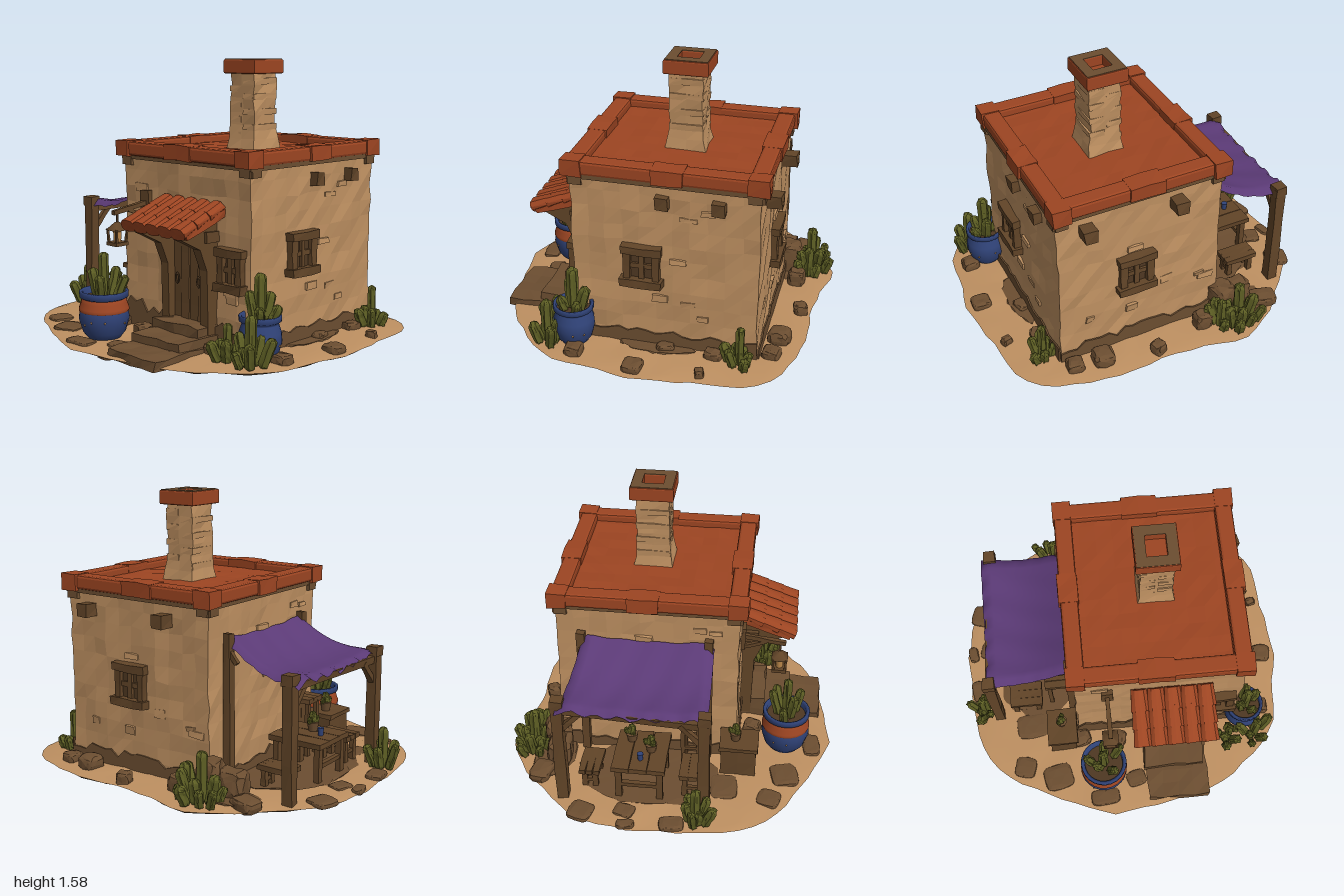
import * as THREE from 'three';

const mat = (name, color, side = THREE.FrontSide) => {
  const m = new THREE.MeshStandardMaterial({ color, side });
  m.name = name;
  return m;
};
const sand = mat('sand plaster', 0xbe9061), terracotta = mat('terracotta', 0x9d4522), wood = mat('wood', 0x624528);
const stone = mat('brown stone', 0x6c4e31), dark = mat('dark wood', 0x4f3822), purple = mat('purple cloth', 0x5b3a76, THREE.DoubleSide);
const blue = mat('blue glaze', 0x31447a, THREE.DoubleSide), green = mat('cactus green', 0x5e5f24), glow = mat('lamp glow', 0xbf8a4c);

let seed = 7;
const rnd = () => (seed = (seed * 16807) % 2147483647) / 2147483647;
const range = (a, b) => a + (b - a) * rnd();
const hash = (x, y, z, k) => {
  const s = Math.sin(Math.round(x * 500) * 1.27 + Math.round(y * 500) * 3.11 + Math.round(z * 500) * 7.47 + k * 5.3) * 4375.85;
  return s - Math.floor(s) - 0.5;
};
// Shift shared corners together, then facet the surface
function rough(geo, amount) {
  const p = geo.attributes.position;
  for (let i = 0; i < p.count; i++) {
    const [x, y, z] = [p.getX(i), p.getY(i), p.getZ(i)];
    p.setXYZ(i, x + hash(x, y, z, 1) * amount, y + hash(x, y, z, 2) * amount, z + hash(x, y, z, 3) * amount);
  }
  const g = geo.index ? geo.toNonIndexed() : geo;
  g.computeVertexNormals();
  return g;
}
function add(parent, name, geo, material, x = 0, y = 0, z = 0) {
  const m = new THREE.Mesh(geo, material);
  m.name = name;
  m.position.set(x, y, z);
  parent.add(m);
  return m;
}
function group(parent, name, x = 0, y = 0, z = 0) {
  const g = new THREE.Group();
  g.name = name;
  g.position.set(x, y, z);
  parent.add(g);
  return g;
}
// Box given by its limits on each axis
function block(parent, name, material, [x0, x1], [y0, y1], [z0, z1], amount = 0.008) {
  const d = [x1 - x0, y1 - y0, z1 - z0];
  const s = d.map(v => Math.min(14, Math.max(1, Math.round(v / 0.09))));
  return add(parent, name, rough(new THREE.BoxGeometry(...d, ...s), amount), material, (x0 + x1) / 2, (y0 + y1) / 2, (z0 + z1) / 2);
}
// Square bar between two points
function bar(parent, name, a, b, w, material = wood) {
  const A = new THREE.Vector3(...a), B = new THREE.Vector3(...b);
  const m = add(parent, name, rough(new THREE.BoxGeometry(w, A.distanceTo(B), w, 1, 3, 1), w * 0.15), material);
  m.position.copy(A).lerp(B, 0.5);
  m.quaternion.setFromUnitVectors(new THREE.Vector3(0, 1, 0), B.sub(A).normalize());
}
// Worn, squarish stone
function rock(parent, x, y, z, rx, ry, rz, turn) {
  const geo = new THREE.IcosahedronGeometry(1, 2), p = geo.attributes.position;
  const square = v => Math.sign(v) * Math.sqrt(Math.abs(v));
  for (let i = 0; i < p.count; i++) p.setXYZ(i, square(p.getX(i)), square(p.getY(i)), square(p.getZ(i)));
  add(parent, 'rock', rough(geo.scale(rx, ry, rz), Math.min(rx, ry) * 0.2), stone, x, y, z).rotation.y = turn;
}
// Horizontal rectangular ring, its bottom at y = 0
function ring(x0, x1, z0, z1, t, height, bevel) {
  const rect = (C, i) => {
    const s = new C();
    s.moveTo(x0 + i, -z1 + i); s.lineTo(x1 - i, -z1 + i); s.lineTo(x1 - i, -z0 - i); s.lineTo(x0 + i, -z0 - i);
    s.closePath();
    return s;
  };
  const s = rect(THREE.Shape, bevel);
  s.holes.push(rect(THREE.Path, t - bevel));
  return new THREE.ExtrudeGeometry(s, { depth: height - 2 * bevel, bevelEnabled: bevel > 0, bevelSize: bevel, bevelThickness: bevel, bevelSegments: 2 })
    .rotateX(-Math.PI / 2).translate(0, bevel, 0);
}
// Clump of ribbed cactus stems around a tall one
function cactus(parent, x, y, z, spread, height, count) {
  const g = group(parent, 'cactus', x, y, z);
  for (let i = 0; i < count; i++) {
    const a = i * 2.4, k = i ? Math.sqrt(i / count) : 0, h = height * (i ? range(0.35, 0.72) : 1), r = Math.min(range(0.022, 0.03), h * 0.3);
    const geo = new THREE.CapsuleGeometry(r, h - 2 * r, 4, 12, 3), p = geo.attributes.position;
    for (let j = 0; j < p.count; j++) {
      const f = 1 + 0.14 * Math.cos(6 * Math.atan2(p.getZ(j), p.getX(j)));
      p.setXYZ(j, p.getX(j) * f, p.getY(j), p.getZ(j) * f);
    }
    const stem = add(g, 'cactus stem', rough(geo.translate(0, h / 2, 0), 0.004), green, Math.cos(a) * spread * k, 0, Math.sin(a) * spread * k);
    stem.rotation.set(Math.sin(a) * k * 0.45, 0, -Math.cos(a) * k * 0.45);
  }
}
function pot(parent, x, z, r, h, banded) {
  const g = group(parent, 'plant pot', x, 0.03, z);
  const lathe = pts => new THREE.LatheGeometry(pts.map(([a, b]) => new THREE.Vector2(a * r, b * h)), 24);
  add(g, 'pot body', lathe([[0, 0], [0.62, 0], [0.85, 0.15], [1, 0.42], [0.97, 0.62], [0.84, 0.8], [0.86, 0.84], [0.97, 0.87], [0.98, 0.98], [0.92, 1], [0.82, 0.97], [0.8, 0.8]]), blue);
  if (banded) add(g, 'pot band', lathe([[0.98, 0.58], [1, 0.6], [0.99, 0.65], [0.91, 0.76], [0.89, 0.84], [0.83, 0.84]]), terracotta);
  for (let i = 0; i < 9; i++) {
    const a = i * 2.4;
    add(g, 'glaze chip', new THREE.SphereGeometry(0.006, 6, 4), sand, Math.sin(a) * r * 0.985, h * (0.34 + 0.025 * (i % 5)), Math.cos(a) * r * 0.985);
  }
  add(g, 'soil', new THREE.CylinderGeometry(r * 0.83, r * 0.83, 0.01, 20), dark, 0, h * 0.84, 0);
  cactus(g, 0, h * 0.82, 0, r * 0.55, 0.26, 6);
}
function window_(parent, x, y, z, turn, w, h) {
  const g = group(parent, 'window', x, y, z);
  g.rotation.y = turn;
  block(g, 'window pane', dark, [-w / 2, w / 2], [-h / 2, h / 2], [-0.01, 0.008], 0);
  for (const s of [-1, 1]) block(g, 'window jamb', wood, [s * w / 2 - 0.02, s * w / 2 + 0.02], [-h / 2, h / 2], [-0.01, 0.035]);
  block(g, 'window lintel', wood, [-w / 2 - 0.03, w / 2 + 0.03], [h / 2 - 0.025, h / 2 + 0.02], [-0.01, 0.045]);
  block(g, 'window sill', wood, [-w / 2 - 0.035, w / 2 + 0.035], [-h / 2 - 0.02, -h / 2 + 0.025], [-0.01, 0.055]);
  block(g, 'window bar', wood, [-0.014, 0.014], [-h / 2, h / 2], [0, 0.025], 0.003);
  block(g, 'window bar', wood, [-w / 2, w / 2], [-0.014, 0.014], [0, 0.022], 0.003);
}
// Rings of the island outline, scaled and set at heights
function island(rings, amount) {
  const outline = [[-0.37, -0.94], [-0.13, -0.9], [0.09, -0.87], [0.35, -0.88], [0.7, -0.82], [0.9, -0.67], [0.95, -0.35], [0.99, 0], [0.94, 0.24], [0.91, 0.45], [0.75, 0.64], [0.54, 0.8], [0.25, 0.87], [-0.13, 0.925], [-0.4, 0.83], [-0.8, 0.61], [-0.93, 0.43], [-0.97, 0.08], [-0.98, -0.19], [-0.92, -0.48], [-0.8, -0.61], [-0.61, -0.8]];
  const n = 72, pts = new THREE.CatmullRomCurve3(outline.map(([x, z]) => new THREE.Vector3(x, 0, z)), true).getSpacedPoints(n);
  const pos = [], idx = [];
  rings.forEach(([s, y], j) => {
    for (let i = 0; i < n; i++) {
      const f = s * (1 + (s > 0.97 ? hash(i, 2, 5, 1) * 0.018 : 0));
      pos.push(pts[i].x * f, y + (s && s < 1 ? hash(i, j, s, 4) * amount : 0), pts[i].z * f);
      const a = j * n + i, d = j * n + (i + 1) % n;
      if (j < rings.length - 1) idx.push(a, d + n, a + n, a, d, d + n);
    }
  });
  const g = new THREE.BufferGeometry();
  g.setAttribute('position', new THREE.Float32BufferAttribute(pos, 3));
  g.setIndex(idx);
  g.computeVertexNormals();
  return g;
}

export function createModel() {
  const root = new THREE.Group();
  root.name = 'desert cottage';
  add(root, 'sandy ground', island([[0, 0.04], [0.5, 0.04], [0.7, 0.04], [0.85, 0.037], [0.95, 0.032], [1, 0.025]], 0.012), sand);
  add(root, 'ground underside', island([[1, 0.025], [0.985, 0.018], [0.9, 0.012], [0.75, 0.008], [0.6, 0.01], [0, 0.012]], 0.012), stone);
  for (let i = 0; i < 34; i++) {
    const a = i * 0.185, k = range(0.76, 0.85);
    rock(root, Math.cos(a) * k, 0.014, Math.sin(a) * k, range(0.03, 0.06), 0.012, range(0.03, 0.06), a);
  }
  // Trodden earth patches: x, z, half width, half depth
  for (const [x, z, rx, rz] of [[-0.53, -0.1, 0.27, 0.38], [-0.42, -0.68, 0.22, 0.12], [0.69, -0.1, 0.07, 0.2]])
    add(root, 'earth patch', rough(new THREE.CylinderGeometry(1, 1, 1, 26), 0.22).scale(rx, 0.008, rz), stone, x, 0.044, z);

  // Plaster walls with raised patches and a ragged footing
  block(root, 'walls', sand, [-0.31, 0.66], [0.02, 1.03], [-0.645, 0.375], 0.015);
  const sides = [[0.175, 0.378, 0, 0.98], [0.663, -0.135, Math.PI / 2, 1.03], [0.175, -0.648, Math.PI, 0.98], [-0.313, -0.135, -Math.PI / 2, 1.03]];
  sides.forEach(([x, z, turn, w], side) => {
    const g = group(root, 'wall face', x, 0, z);
    g.rotation.y = turn;
    const s = new THREE.Shape();
    s.moveTo(w / 2, 0.02);
    for (let i = 0; i <= 20; i++) s.lineTo(w / 2 - w * i / 20, side ? range(0.09, 0.14) : range(0.13, 0.21));
    s.lineTo(-w / 2, 0.02);
    add(g, 'bare footing', new THREE.ExtrudeGeometry(s, { depth: 0.009, bevelEnabled: false }), stone, 0, 0, 0.004);
    for (const e of [-1, 1]) block(g, 'corner corbel', stone, [e * (w / 2 - 0.035) - 0.035, e * (w / 2 - 0.035) + 0.035], [0.965, 1.02], [-0.02, 0.015]);
    for (let i = 0; i < 6; i++) {
      const px = range(-0.42, 0.38), py = range(0.2, 0.9);
      block(g, 'plaster patch', sand, [px, px + range(0.05, 0.1)], [py, py + range(0.02, 0.05)], [-0.02, 0.008], 0.01);
    }
  });
  // Roof beams poking through the walls
  for (const z of [-0.13, -0.43]) block(root, 'beam end', wood, [0.62, 0.71], [0.885, 0.955], [z - 0.037, z + 0.037], 0.014);
  for (const x of [0.5, -0.03]) block(root, 'beam end', wood, [x - 0.037, x + 0.037], [0.885, 0.955], [-0.725, -0.6], 0.014);

  // Flat roof with a raised tiled rim
  add(root, 'under trim', ring(-0.325, 0.675, -0.66, 0.39, 0.06, 0.025, 0), stone, 0, 1.0, 0);
  block(root, 'roof deck', terracotta, [-0.3, 0.64], [1.01, 1.055], [-0.63, 0.37], 0.008);
  add(root, 'roof rim', ring(-0.34, 0.68, -0.67, 0.41, 0.1, 0.08, 0.015), terracotta, 0, 1.02, 0);
  for (const x of [-0.35, 0.58]) {
    for (const z of [-0.685, 0.31]) block(root, 'rim corner', terracotta, [x, x + 0.11], [1.015, 1.107], [z, z + 0.11], 0.01);
    block(root, 'rim tile', terracotta, [x, x + 0.115], [1.02, 1.103], [-0.24, -0.07], 0.008);
  }
  for (const z of [-0.68, 0.3]) block(root, 'rim tile', terracotta, [0.05, 0.25], [1.02, 1.103], [z, z + 0.115], 0.008);

  // Chimney with flared foot and hollow cap
  const stack = new THREE.BoxGeometry(0.175, 0.45, 0.185, 2, 6, 2), sp = stack.attributes.position;
  for (let i = 0; i < sp.count; i++) {
    const f = 1 + 0.4 * Math.max(0, -sp.getY(i) / 0.225 - 0.4);
    sp.setXYZ(i, sp.getX(i) * f, sp.getY(i), sp.getZ(i) * f);
  }
  add(root, 'chimney stack', rough(stack, 0.014), sand, 0.19, 1.265, -0.155);
  for (let i = 0; i < 8; i++) {
    const y = 1.12 + i * 0.043, s = i % 2 ? 1 : -1;
    block(root, 'chimney brick', sand, [0.19 + s * 0.05 - 0.043, 0.19 + s * 0.05 + 0.043], [y, y + 0.032], [-0.25, -0.06], 0.006);
  }
  add(root, 'chimney cap', ring(0.07, 0.305, -0.28, -0.035, 0.06, 0.08, 0.008), terracotta, 0, 1.478, 0);
  add(root, 'chimney soot rim', ring(0.076, 0.299, -0.274, -0.041, 0.056, 0.005, 0), stone, 0, 1.556, 0);
  block(root, 'flue floor', terracotta, [0.11, 0.27], [1.48, 1.5], [-0.235, -0.075], 0);

  window_(root, 0.54, 0.475, 0.378, 0, 0.13, 0.19);
  window_(root, 0.663, 0.53, -0.015, Math.PI / 2, 0.16, 0.2);
  window_(root, 0.21, 0.53, -0.648, Math.PI, 0.16, 0.2);

  // Front door, frame, curved brackets and steps
  const door = group(root, 'front door');
  for (let i = 0; i < 4; i++) block(door, 'door plank', wood, [0.115 + i * 0.064, 0.175 + i * 0.064], [0.15, 0.62], [0.36, 0.4 + (i % 2) * 0.006], 0.004);
  block(door, 'door backing', dark, [0.1, 0.38], [0.14, 0.63], [0.36, 0.392], 0);
  for (const x of [0.155, 0.32]) add(door, 'door ring', new THREE.TorusGeometry(0.016, 0.005, 6, 12).scale(0.8, 1.6, 1), dark, x, 0.38, 0.413);
  block(door, 'door lintel', wood, [0.04, 0.44], [0.61, 0.67], [0.36, 0.47]);
  bar(door, 'canopy beam', [0.03, 0.675, 0.62], [0.46, 0.675, 0.62], 0.03);
  const bracket = new THREE.Shape([[0.36, 0.06], [0.44, 0.06], [0.45, 0.46], [0.5, 0.58], [0.64, 0.65], [0.64, 0.685], [0.36, 0.77]].map(p => new THREE.Vector2(...p)));
  for (const x of [0.12, 0.42]) add(door, 'door post bracket', new THREE.ExtrudeGeometry(bracket, { depth: 0.055, bevelEnabled: false }).rotateY(-Math.PI / 2), wood, x, 0, 0);
  [[0.52, 0.16], [0.67, 0.11], [0.86, 0.065]].forEach(([z, h], i) =>
    block(door, 'step', stone, [0.07 + i * 0.01, 0.42 + i * 0.02], [0.01, h], [0.36, z], 0.015));
  // Tiled door canopy
  const canopy = group(root, 'door canopy', 0.245, 0.738, 0.525);
  canopy.rotation.x = 0.32;
  block(canopy, 'canopy board', terracotta, [-0.235, 0.235], [-0.035, 0.005], [-0.155, 0.145]);
  for (let r = 0; r < 3; r++) for (let c = 0; c < 5; c++) {
    const tile = rough(new THREE.CylinderGeometry(0.054, 0.043, 0.125, 10).rotateX(Math.PI / 2).scale(1, 0.7, 1), 0.008);
    add(canopy, 'roof tile', tile, terracotta, -0.19 + c * 0.095, 0.012 - r * 0.004, -0.1 + r * 0.1).rotation.x = 0.07;
  }

  // Hanging lantern on a wall arm
  const lamp = group(root, 'lantern', -0.125, 0, 0.6);
  block(lamp, 'lantern wall plate', wood, [-0.035, 0.035], [0.69, 0.83], [-0.235, -0.2]);
  bar(lamp, 'lantern arm', [0, 0.765, -0.22], [0, 0.73, 0.03], 0.025);
  bar(lamp, 'lantern brace', [0, 0.69, -0.21], [0, 0.735, -0.08], 0.02);
  bar(lamp, 'lantern hook', [0, 0.74, 0], [0, 0.65, 0], 0.01, dark);
  add(lamp, 'lantern roof', new THREE.CylinderGeometry(0.012, 0.065, 0.045, 4).rotateY(Math.PI / 4), wood, 0, 0.655, 0);
  add(lamp, 'lantern light', new THREE.CylinderGeometry(0.023, 0.02, 0.06, 8), glow, 0, 0.595, 0);
  block(lamp, 'lantern base', wood, [-0.042, 0.042], [0.548, 0.568], [-0.042, 0.042], 0);
  for (const x of [-1, 1]) for (const z of [-1, 1]) bar(lamp, 'lantern rib', [x * 0.032, 0.56, z * 0.032], [x * 0.038, 0.64, z * 0.038], 0.012);

  // Side awning: sagging cloth with drooping hems on a post frame
  const awning = group(root, 'side awning');
  const cloth = new THREE.PlaneGeometry(1, 1, 16, 24), cp = cloth.attributes.position;
  for (let i = 0; i < cp.count; i++) {
    const t = 0.5 - cp.getX(i), v = 0.5 - cp.getY(i);
    const hem = Math.max(0, t - 0.93) * (0.4 + 0.2 * Math.sin(v * 40)) + Math.max(0, Math.abs(v - 0.5) - 0.455) * (0.8 + 0.1 * Math.sin(t * 30));
    cp.setXYZ(i, -0.325 - 0.485 * t, 0.84 - 0.135 * t - 0.055 * Math.sin(Math.PI * t) - 0.02 * Math.sin(Math.PI * v) - hem + 0.004 * Math.sin(v * 24 + t * 5),
      (-0.5 - 0.07 * t) + v * (0.74 + 0.08 * t));
  }
  cloth.computeVertexNormals();
  add(awning, 'awning cloth', cloth, purple);
  for (const [x, z] of [[-0.8, 0.235], [-0.755, -0.56]]) {
    bar(awning, 'outer post', [x, 0.02, z], [x, 0.7, z], 0.06);
    block(awning, 'post cap', wood, [x - 0.035, x + 0.035], [0.66, 0.715], [z - 0.035, z + 0.035]);
    bar(awning, 'wall post', [-0.335, 0.02, z * 0.9], [-0.335, 0.86, z * 0.9], 0.045);
    bar(awning, 'brace', [-0.33, 0.78, z * 0.9], [-0.39, 0.7, z * 0.9], 0.025);
    bar(awning, 'post brace', [x, 0.5, z], [x, 0.64, z - Math.sign(z) * 0.13], 0.03);
  }
  bar(awning, 'outer beam', [-0.755, 0.645, -0.58], [-0.8, 0.645, 0.26], 0.04);

  // Table, stool, bench and shelf beneath the awning
  function table(name, x0, x1, z0, z1, top, leg) {
    const g = group(root, name);
    for (let i = 0; i < 3; i++) {
      const d = (z1 - z0) / 3;
      block(g, 'board', wood, [x0, x1], [top - 0.03, top], [z0 + i * d, z0 + i * d + d * 0.95], 0.006);
    }
    for (const x of [x0 + leg, x1 - leg]) {
      for (const z of [z0 + leg, z1 - leg]) bar(g, 'leg', [x, 0.03, z], [x, top - 0.02, z], leg);
      bar(g, 'rail', [x, top * 0.5, z0 + leg], [x, top * 0.5, z1 - leg], leg * 0.7);
    }
  }
  table('table', -0.77, -0.44, -0.28, 0.02, 0.27, 0.035);
  table('stool', -0.72, -0.52, 0.09, 0.24, 0.2, 0.03);
  table('bench', -0.7, -0.5, -0.48, -0.36, 0.17, 0.03);
  table('high shelf', -0.49, -0.32, 0.06, 0.2, 0.39, 0.025);
  block(root, 'crate', wood, [-0.49, -0.33], [0.03, 0.23], [0.3, 0.5]);
  block(root, 'crate lid', wood, [-0.5, -0.32], [0.215, 0.24], [0.29, 0.51]);
  for (const [x, y, z] of [[-0.6, 0.27, -0.08], [-0.52, 0.27, -0.2], [-0.41, 0.24, 0.38]]) {
    add(root, 'small pot', new THREE.CylinderGeometry(0.035, 0.025, 0.05, 10), stone, x, y + 0.025, z);
    cactus(root, x, y + 0.04, z, 0.025, 0.07, 3);
  }
  add(root, 'blue cup', new THREE.CylinderGeometry(0.018, 0.014, 0.045, 10), blue, -0.68, 0.29, -0.13);

  pot(root, -0.175, 0.66, 0.14, 0.27, true);
  pot(root, 0.72, 0.365, 0.115, 0.24, false);
  for (const [x, z, s, h, n] of [[0.62, 0.5, 0.06, 0.2, 7], [0.78, 0.5, 0.07, 0.27, 8], [-0.89, 0.2, 0.05, 0.24, 7], [-0.38, -0.8, 0.1, 0.28, 13], [0.74, -0.57, 0.055, 0.24, 7], [-0.27, -0.8, 0.05, 0.2, 5]])
    cactus(root, x, 0.03, z, s, h, n);

  // Scattered rocks and paving: x, z, half width, half depth, height
  const rocks = [[-0.45, -0.64, 0.09, 0.07, 0.16], [-0.34, -0.67, 0.07, 0.08, 0.2], [-0.6, -0.72, 0.08, 0.06, 0.06], [-0.18, -0.74, 0.05, 0.05, 0.1], [0.14, -0.81, 0.04, 0.04, 0.07],
    [0.45, -0.74, 0.06, 0.06, 0.08], [0.61, -0.72, 0.05, 0.05, 0.06], [0.88, -0.38, 0.03, 0.025, 0.05], [0.9, -0.02, 0.055, 0.055, 0.05], [0.71, -0.42, 0.04, 0.05, 0.06], [0.7, -0.15, 0.035, 0.05, 0.05],
    [0.84, 0.33, 0.05, 0.05, 0.06], [-0.66, 0.59, 0.065, 0.065, 0.03], [-0.46, 0.67, 0.09, 0.08, 0.03], [-0.18, 0.82, 0.09, 0.05, 0.03], [-0.88, -0.44, 0.07, 0.07, 0.03],
    [-0.95, -0.18, 0.03, 0.05, 0.03], [-0.92, 0.07, 0.05, 0.07, 0.03], [-0.85, -0.2, 0.05, 0.06, 0.03], [-0.6, 0.33, 0.1, 0.08, 0.03], [-0.3, 0.44, 0.06, 0.05, 0.07],
    [-0.07, 0.46, 0.05, 0.05, 0.07], [0.5, 0.47, 0.06, 0.05, 0.07], [0.02, 0.72, 0.06, 0.05, 0.03]];
  rocks.forEach(([x, z, rx, rz, h], i) => rock(root, x, 0.022 + h * 0.4, z, rx, h * 0.6, rz, Math.sin(i * 2) * 0.3));
  return root;
}
